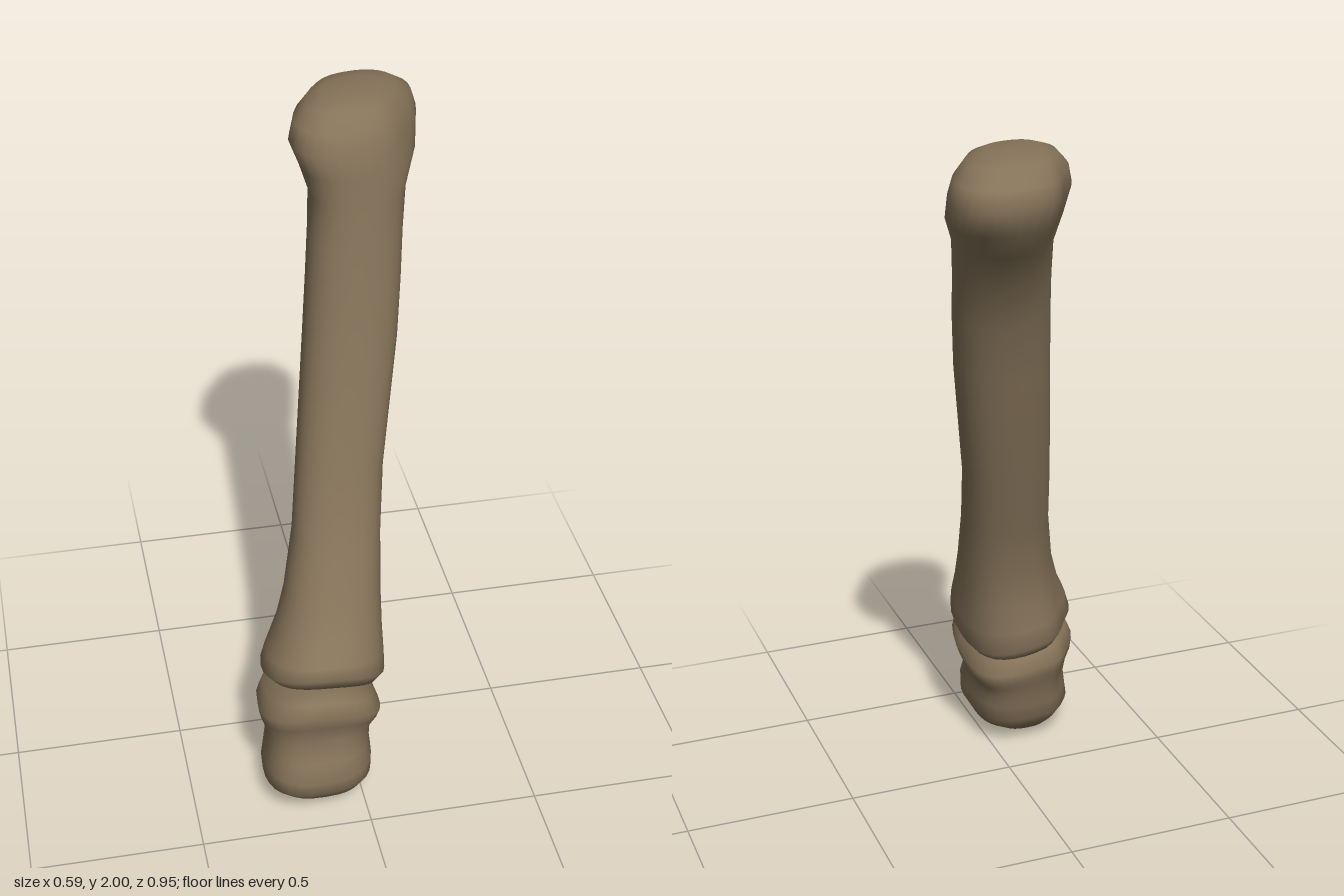
import * as THREE from 'three';

const SIDES = 32;
const WEST_ANGLE = -2.4; // back corner on the -x side
const EAST_ANGLE = 0.7;  // front corner on the +x side

// Signed power, used to square off an ellipse.
const spow = (v, e) => Math.sign(v) * Math.abs(v) ** e;

// Smooth bump around an angle.
const bump = (t, a) => {
  const d = Math.atan2(Math.sin(t - a), Math.cos(t - a));
  return Math.exp(-((d / 0.5) ** 2));
};

// Lofts a closed bone from bottom to top.
// Row: [y, xMin, xMax, zMin, zMax, skew, tilt, west, east]
// skew leans the section diagonally, tilt makes it a sloping saddle,
// west and east hollow (or, if negative, swell) two opposite corners.
function loftBone(rows, bottomY, topY, squareness) {
  const positions = [];
  const index = [];

  for (const [y, x0, x1, z0, z1, skew, tilt, west, east] of rows) {
    for (let j = 0; j < SIDES; j++) {
      const t = (j / SIDES) * Math.PI * 2;
      const scale = 1 - west * bump(t, WEST_ANGLE) - east * bump(t, EAST_ANGLE);
      const dx = scale * ((x1 - x0) / 2) * spow(Math.cos(t), 2 / squareness);
      const dz = scale * ((z1 - z0) / 2) * spow(Math.sin(t + skew), 2 / squareness);
      const dy = tilt * (dz - 0.4 * dx - 5 * dx * dx);
      positions.push((x0 + x1) / 2 + dx, y + dy, (z0 + z1) / 2 + dz);
    }
  }

  // Side walls
  for (let i = 0; i < rows.length - 1; i++) {
    for (let j = 0; j < SIDES; j++) {
      const k = (j + 1) % SIDES;
      const a = i * SIDES + j, b = i * SIDES + k;
      index.push(a, a + SIDES, b, b, a + SIDES, b + SIDES);
    }
  }

  // End caps
  const addCap = (row, y, start, top) => {
    const center = positions.length / 3;
    positions.push((row[1] + row[2]) / 2, y, (row[3] + row[4]) / 2);
    for (let j = 0; j < SIDES; j++) {
      const a = start + j, b = start + ((j + 1) % SIDES);
      index.push(center, top ? b : a, top ? a : b);
    }
  };
  addCap(rows[0], bottomY, 0, false);
  addCap(rows[rows.length - 1], topY, (rows.length - 1) * SIDES, true);

  const geometry = new THREE.BufferGeometry();
  geometry.setAttribute('position', new THREE.Float32BufferAttribute(positions, 3));
  geometry.setIndex(index);
  geometry.computeVertexNormals();
  return geometry;
}

export function createModel() {
  const group = new THREE.Group();
  const boneMaterial = new THREE.MeshStandardMaterial({ color: 0x857359 });
  boneMaterial.name = 'bone brown';

  const add = (name, geometry) => {
    const mesh = new THREE.Mesh(geometry, boneMaterial);
    mesh.name = name;
    group.add(mesh);
  };

  // Long bone: flared lower joint, slim leaning shaft, diagonal head
  const longRows = [
    [0.405, -0.255, 0.06, 0.03, 0.41, -0.08, 0.24, 0.14, -0.08],
    [0.445, -0.282, 0.083, 0.0, 0.432, -0.1, 0.23, 0.16, -0.08],
    [0.49, -0.265, 0.082, 0.008, 0.415, -0.1, 0.18, 0.15, -0.08],
    [0.55, -0.228, 0.084, 0.015, 0.37, -0.1, 0.1, 0.1, -0.06],
    [0.64, -0.195, 0.088, 0.015, 0.315, -0.1, 0.05, 0.06, -0.05],
    [0.8, -0.155, 0.10, -0.03, 0.235, -0.08, 0, 0.02, -0.04],
    [0.98, -0.128, 0.123, -0.09, 0.15, -0.06, 0, 0, -0.03],
    [1.34, -0.085, 0.182, -0.195, 0.05, -0.05, 0, 0, -0.03],
    [1.5, -0.068, 0.198, -0.24, 0.018, -0.06, 0, 0, -0.03],
    [1.63, -0.055, 0.213, -0.305, -0.012, -0.12, 0, 0.04, -0.03],
    [1.74, -0.048, 0.232, -0.38, -0.03, -0.18, 0, 0.1, -0.02],
    [1.82, -0.075, 0.28, -0.46, -0.042, -0.28, 0, 0.18, 0.04],
    [1.89, -0.103, 0.297, -0.48, -0.05, -0.32, 0, 0.22, 0.15],
    [1.94, -0.085, 0.28, -0.465, -0.085, -0.32, 0, 0.18, 0.12],
    [1.98, -0.045, 0.23, -0.40, -0.125, -0.3, 0, 0.1, 0.08],
    [1.995, 0.0, 0.17, -0.33, -0.165, -0.3, 0, 0, 0],
  ];
  add('longBone', loftBone(longRows, 0.425, 2.0, 2.3));

  // Short end bone: rounded base, pinched waist, saddle-shaped top
  const shortRows = [
    [0.008, -0.18, -0.09, 0.20, 0.32, 0, 0, 0, 0],
    [0.025, -0.215, -0.04, 0.165, 0.385, 0, 0, 0.04, 0],
    [0.055, -0.26, 0.01, 0.13, 0.435, -0.05, 0, 0.08, -0.03],
    [0.095, -0.293, 0.033, 0.10, 0.465, -0.1, 0, 0.1, -0.04],
    [0.145, -0.287, 0.035, 0.09, 0.475, -0.1, 0, 0.12, -0.02],
    [0.195, -0.278, 0.033, 0.08, 0.455, -0.1, 0.05, 0.14, 0],
    [0.245, -0.28, 0.04, 0.07, 0.425, -0.1, 0.1, 0.15, -0.02],
    [0.295, -0.295, 0.055, 0.055, 0.443, -0.1, 0.18, 0.15, -0.06],
    [0.335, -0.30, 0.06, 0.05, 0.455, -0.1, 0.2, 0.14, -0.08],
    [0.375, -0.277, 0.04, 0.07, 0.435, -0.05, 0.22, 0.12, -0.06],
    [0.395, -0.23, 0.0, 0.11, 0.39, 0, 0.22, 0.06, 0],
  ];
  add('shortEndBone', loftBone(shortRows, 0, 0.41, 2.7));

  return group;
}
